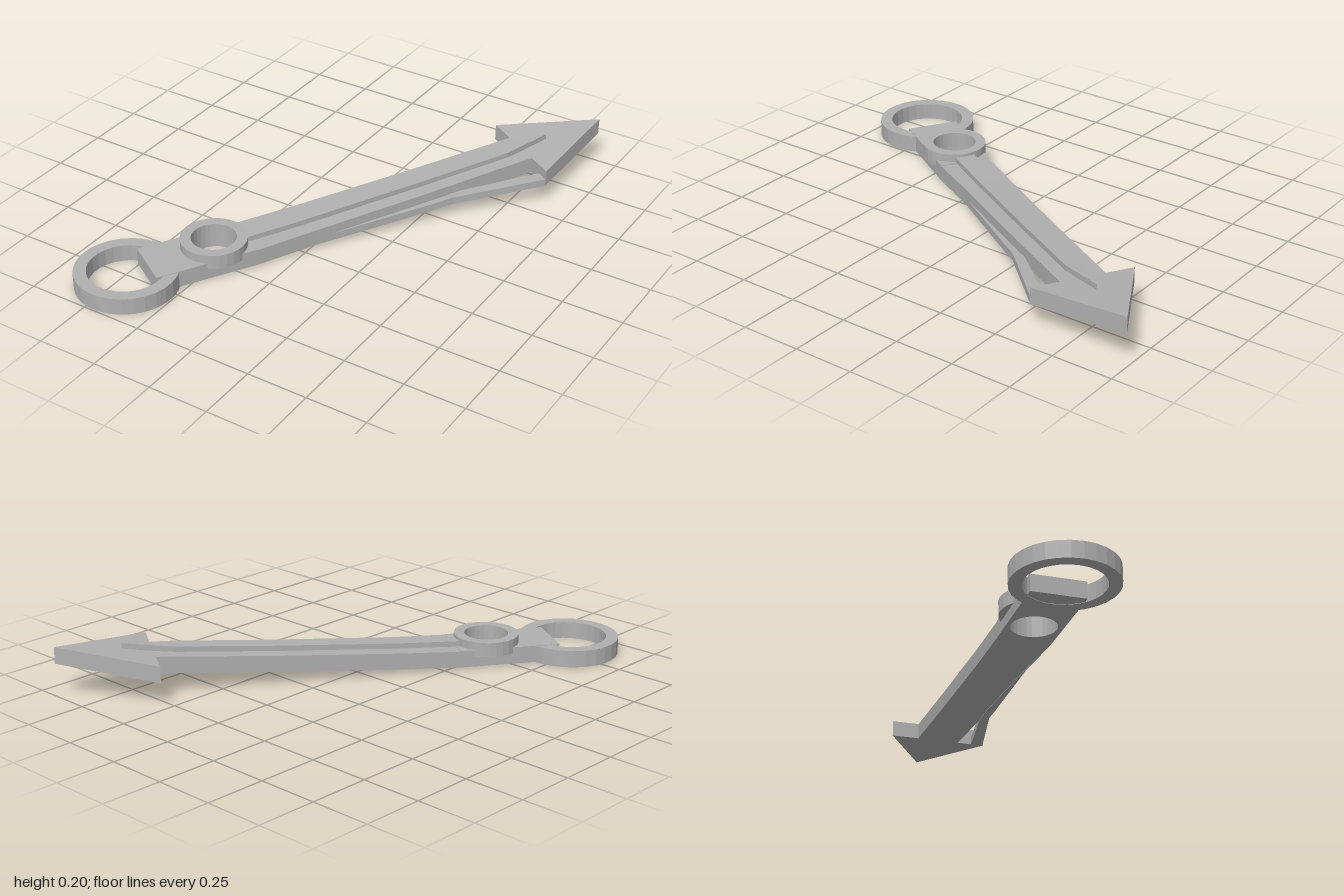
import * as THREE from 'three';

// Height of the underside along the hand's length: [distance, height]
const RISE = [[0.08, 0.001], [0.5, 0.007], [0.75, 0.02], [1.25, 0.054], [1.73, 0.092], [2.11, 0.134]];

function rise(s) {
  if (s <= RISE[0][0]) return RISE[0][1];
  for (let i = 1; i < RISE.length; i++) {
    const [a, ya] = RISE[i - 1], [b, yb] = RISE[i];
    if (s <= b) return ya + (yb - ya) * (s - a) / (b - a);
  }
  return RISE[RISE.length - 1][1];
}

// Extrude a plan upward from y0 to y1
function slab(shape, y0, y1) {
  const g = new THREE.ExtrudeGeometry(shape, { depth: y1 - y0, bevelEnabled: false, curveSegments: 14 });
  g.rotateX(-Math.PI / 2);
  g.translate(0, y0, 0);
  return g;
}

// Lift a slab so that it follows the sloping underside
function bend(g) {
  const p = g.attributes.position;
  for (let i = 0; i < p.count; i++) p.setY(i, p.getY(i) + rise(p.getX(i)));
  g.computeVertexNormals();
  return g;
}

const plan = (pts) => new THREE.Shape(pts.map(([s, t]) => new THREE.Vector2(s, t)));

function circleHole(shape, x, r) {
  const hole = new THREE.Path();
  hole.absarc(x, 0, r, 0, Math.PI * 2, true);
  shape.holes.push(hole);
  return shape;
}

function ringPlan(x, outer, inner) {
  const s = new THREE.Shape();
  s.absarc(x, 0, outer, 0, Math.PI * 2, false);
  return circleHole(s, x, inner);
}

export function createModel() {
  const metal = new THREE.MeshStandardMaterial({ color: 0xb0b0b0, flatShading: true });
  metal.name = 'grey metal';
  const model = new THREE.Group();
  model.name = 'pointerHand';
  const hand = new THREE.Group();
  hand.name = 'hand';
  const add = (name, g) => {
    const m = new THREE.Mesh(g, metal);
    m.name = name;
    hand.add(m);
  };

  // Rings at the foot of the hand
  add('endRing', slab(ringPlan(0, 0.205, 0.155), 0, 0.07));
  add('pivotRing', slab(ringPlan(0.36, 0.133, 0.09), 0.05, 0.11));

  // Base of the bar, pierced by the pivot
  const base = plan([[0.08, -0.112], [0.5, -0.11], [0.5, 0.104], [0.08, 0.106]]);
  add('barBase', bend(slab(circleHole(base, 0.36, 0.09), 0, 0.07)));

  // Bar and raised ridge, in straight lengths: [distance, right, left, ridge half width]
  const stations = [[0.5, 0.11, 0.104, 0.041], [0.75, 0.1, 0.1, 0.04], [1.25, 0.095, 0.095, 0.037], [1.73, 0.09, 0.09, 0.02]];
  for (let i = 0; i < 3; i++) {
    const [a, ra, la] = stations[i], [b, rb, lb] = stations[i + 1];
    add('bar', bend(slab(plan([[a, -ra], [b, -rb], [b, lb], [a, la]]), 0, 0.068)));
  }
  const ridge = [[0.48, 0.041], [0.75, 0.04], [1.25, 0.037], [1.65, 0.035], [1.85, 0.001]];
  for (let i = 0; i < 4; i++) {
    const [a, wa] = ridge[i], [b, wb] = ridge[i + 1];
    add('ridge', bend(slab(plan([[a, -wa], [b, -wb], [b, wb], [a, wa]]), 0.05, 0.09)));
  }

  // Arrowhead
  add('arrowhead', bend(slab(plan([[1.73, -0.206], [2.11, 0], [1.73, 0.206]]), 0, 0.068)));

  // Thin brace from the bar's right side to the barb, leaving a slit
  const brace = [
    [[0.7, -0.095], [1.25, -0.119], [1.25, -0.085]],
    [[1.25, -0.119], [1.35, -0.122], [1.73, -0.203], [1.73, -0.15], [1.4, -0.093], [1.25, -0.085]],
  ];
  brace.forEach((pts) => add('brace', bend(slab(plan(pts), -0.003, 0.028))));

  hand.rotation.y = 1.0115;
  hand.position.set(-0.46, 0, 0.79);
  model.add(hand);
  return model;
}
